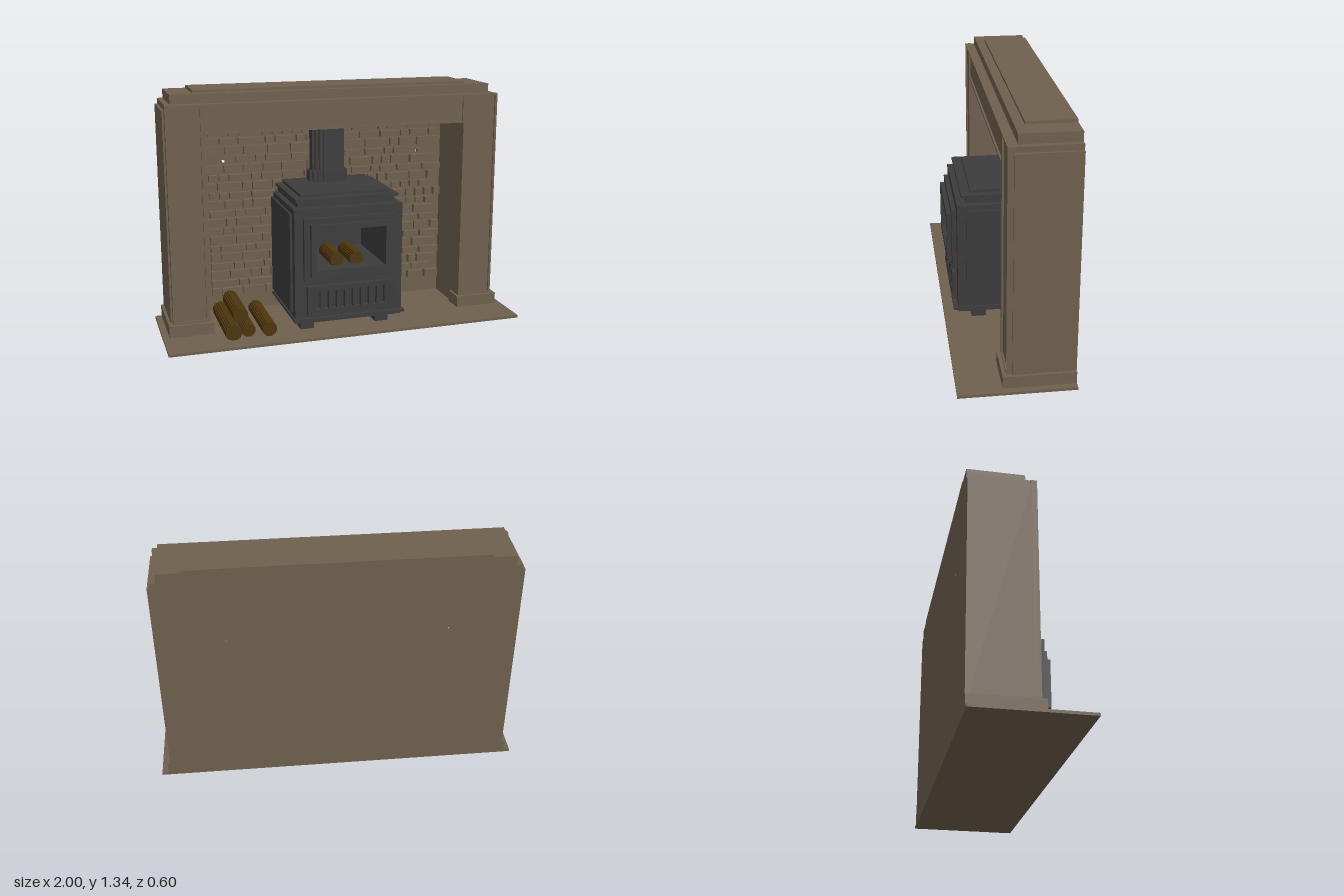
import * as THREE from 'three';

const mat = (name, color) => {
  const m = new THREE.MeshStandardMaterial({ color });
  m.name = name;
  return m;
};

export function createModel() {
  const stone = mat('stone', 0x6e604e);
  const iron = mat('castIron', 0x3c3c3c);
  const wood = mat('wood', 0x4c350b);
  const model = new THREE.Group();

  const group = (name) => {
    const g = new THREE.Group();
    g.name = name;
    model.add(g);
    return g;
  };
  // Box given by its min and max on each axis
  const box = (parent, name, m, x0, x1, y0, y1, z0, z1) => {
    const mesh = new THREE.Mesh(new THREE.BoxGeometry(x1 - x0, y1 - y0, z1 - z0), m);
    mesh.position.set((x0 + x1) / 2, (y0 + y1) / 2, (z0 + z1) / 2);
    mesh.name = name;
    parent.add(mesh);
    return mesh;
  };
  const rectPoints = (x0, x1, y0, y1) => [[x0, y0], [x1, y0], [x1, y1], [x0, y1]].map((p) => new THREE.Vector2(...p));
  // Plate with rectangular holes, each [x0, x1, y0, y1]
  const plate = (parent, name, m, outer, holes, z0, z1) => {
    const shape = new THREE.Shape(rectPoints(...outer));
    holes.forEach((h) => shape.holes.push(new THREE.Path(rectPoints(...h).reverse())));
    const geo = new THREE.ExtrudeGeometry(shape, { depth: z1 - z0, bevelEnabled: false });
    const mesh = new THREE.Mesh(geo, m);
    mesh.position.z = z0;
    mesh.name = name;
    parent.add(mesh);
    return mesh;
  };
  // Prism whose round section is cut in steps, along z
  const steppedPrism = (parent, name, m, rx, ry, depth) => {
    const quarter = [[1, 0.4], [0.85, 0.4], [0.85, 0.65], [0.65, 0.65], [0.65, 0.85], [0.4, 0.85], [0.4, 1]];
    const pts = [];
    for (let q = 0; q < 4; q++) {
      const a = (q * Math.PI) / 2;
      const c = Math.round(Math.cos(a)), s = Math.round(Math.sin(a));
      quarter.forEach(([x, y]) => pts.push(new THREE.Vector2((x * c - y * s) * rx, (x * s + y * c) * ry)));
    }
    const geo = new THREE.ExtrudeGeometry(new THREE.Shape(pts), { depth, bevelEnabled: false });
    const mesh = new THREE.Mesh(geo, m);
    mesh.name = name;
    parent.add(mesh);
    return mesh;
  };

  // Hearth slab
  box(model, 'hearth', stone, -1, 1, 0, 0.015, -0.3, 0.3);

  // Surround: pilasters, plinths, lintel and stepped mantel
  const surround = group('surround');
  for (const s of [-1, 1]) {
    const side = (name, a, b, ...rest) => box(surround, name, stone, Math.min(s * a, s * b), Math.max(s * a, s * b), ...rest);
    side('pilaster', 0.735, 0.935, 0.015, 1.27, -0.3, 0.042);
    side('sidePanel', 0.93, 0.95, 0.015, 1.24, -0.3, 0.022);
    side('plinth', 0.72, 0.965, 0.015, 0.08, -0.05, 0.072);
    side('sidePlinth', 0.93, 0.965, 0.015, 0.08, -0.3, 0);
    const outer = s > 0 ? [0.735, 0.94, 0.015, 1.27] : [-0.94, -0.735, 0.015, 1.27];
    const inner = s > 0 ? [0.757, 0.927, 0.09, 1.26] : [-0.927, -0.757, 0.09, 1.26];
    plate(surround, 'pilasterFrame', stone, outer, [inner], 0.02, 0.052);
  }
  box(surround, 'lintel', stone, -0.74, 0.74, 1.11, 1.27, -0.3, 0.042);
  plate(surround, 'lintelFrame', stone, [-0.74, 0.74, 1.11, 1.27], [[-0.73, 0.73, 1.122, 1.26]], 0.03, 0.052);
  box(surround, 'mantelLower', stone, -0.905, 0.905, 1.27, 1.32, -0.3, 0);
  box(surround, 'mantelUpper', stone, -0.78, 0.78, 1.32, 1.335, -0.3, -0.05);

  // Back wall with two small fixing holes
  const holes = [-1, 1].map((s) => [s * 0.583 - 0.009, s * 0.583 + 0.009, 0.891, 0.909]);
  plate(model, 'backWall', stone, [-0.74, 0.74, 0.015, 1.12], holes, -0.3, -0.28);

  // Raised bricks in uneven courses
  const bricks = group('bricks');
  let seed = 11;
  const rand = () => {
    seed = (seed * 16807) % 2147483647;
    return seed / 2147483647;
  };
  let y = 0.11;
  for (let row = 0; y < 1.07; row++) {
    const h = row % 2 ? 0.034 : 0.045;
    let x = -0.73;
    while (x < 0.69) {
      const w = Math.min(rand() < 0.45 ? 0.045 : 0.09 + rand() * 0.06, 0.728 - x);
      const overHole = holes.some(([a, b, c, d]) => x < b && x + w > a && y < d && y + h > c);
      if (!overHole) box(bricks, 'brick', stone, x, x + w, y, y + h, -0.285, -0.262 + rand() * 0.014);
      x += w + 0.013;
    }
    y += h + 0.0125;
  }

  // Stove body, hollow behind the door window
  const stove = group('stove');
  const windowHole = [-0.195, 0.195, 0.385, 0.605];
  plate(stove, 'body', iron, [-0.305, 0.305, 0.08, 0.715], [windowHole], -0.15, 0.228);
  box(stove, 'bodyBack', iron, -0.305, 0.305, 0.08, 0.715, -0.275, -0.15);
  for (const s of [-1, 1]) {
    box(stove, 'sidePanel', iron, s * 0.31 - 0.008, s * 0.31 + 0.008, 0.13, 0.685, -0.25, 0.18);
    for (const z of [0.11, -0.2]) {
      box(stove, 'foot', iron, s * 0.217 - 0.038, s * 0.217 + 0.038, 0.015, 0.08, z - 0.04, z + 0.04);
    }
  }
  box(stove, 'baseUnderside', iron, -0.285, 0.285, 0.067, 0.08, -0.27, 0.2);
  box(stove, 'baseLedge', iron, -0.315, 0.315, 0.095, 0.11, -0.275, 0.253);
  box(stove, 'topNeck', iron, -0.275, 0.275, 0.715, 0.75, -0.27, 0.178);
  box(stove, 'topPlate', iron, -0.29, 0.29, 0.75, 0.765, -0.275, 0.203);
  box(stove, 'topCap', iron, -0.25, 0.25, 0.765, 0.78, -0.27, 0.152);

  // Door frame and inner frame around the window
  plate(stove, 'doorFrame', iron, [-0.258, 0.258, 0.32, 0.668], [windowHole], 0.22, 0.253);
  plate(stove, 'windowFrame', iron, [-0.225, 0.225, 0.353, 0.637], [windowHole], 0.25, 0.278);

  // Vent panel with nine slots
  const slots = [];
  for (let i = -4; i <= 4; i++) slots.push([i * 0.046 - 0.015, i * 0.046 + 0.015, 0.16, 0.262]);
  plate(stove, 'ventPanel', iron, [-0.24, 0.24, 0.13, 0.29], slots, 0.22, 0.253);

  // Flue pipe with base collar and top ring
  const flue = (name, rx, rz, y0, y1) => {
    const pipe = steppedPrism(stove, name, iron, rx, rz, y1 - y0);
    pipe.rotation.x = -Math.PI / 2;
    pipe.position.set(0, y0, -0.195);
  };
  flue('flueCollar', 0.112, 0.085, 0.78, 0.84);
  flue('fluePipe', 0.095, 0.075, 0.84, 1.11);
  flue('flueRing', 0.108, 0.083, 1.09, 1.1);

  // Logs beside the stove and in the firebox: x, y, radius, back, front
  const logs = group('logs');
  const logList = [
    [-0.638, 0.055, 0.043, -0.2, 0.2], [-0.55, 0.05, 0.036, -0.2, 0.17],
    [-0.583, 0.12, 0.04, -0.2, 0.12], [-0.44, 0.055, 0.038, -0.18, 0.2],
    [-0.06, 0.412, 0.038, -0.02, 0.2], [0.052, 0.412, 0.038, -0.02, 0.2],
  ];
  for (const [x, ly, r, z0, z1] of logList) {
    steppedPrism(logs, 'log', wood, r, r, z1 - z0).position.set(x, ly, z0);
  }
  return model;
}
